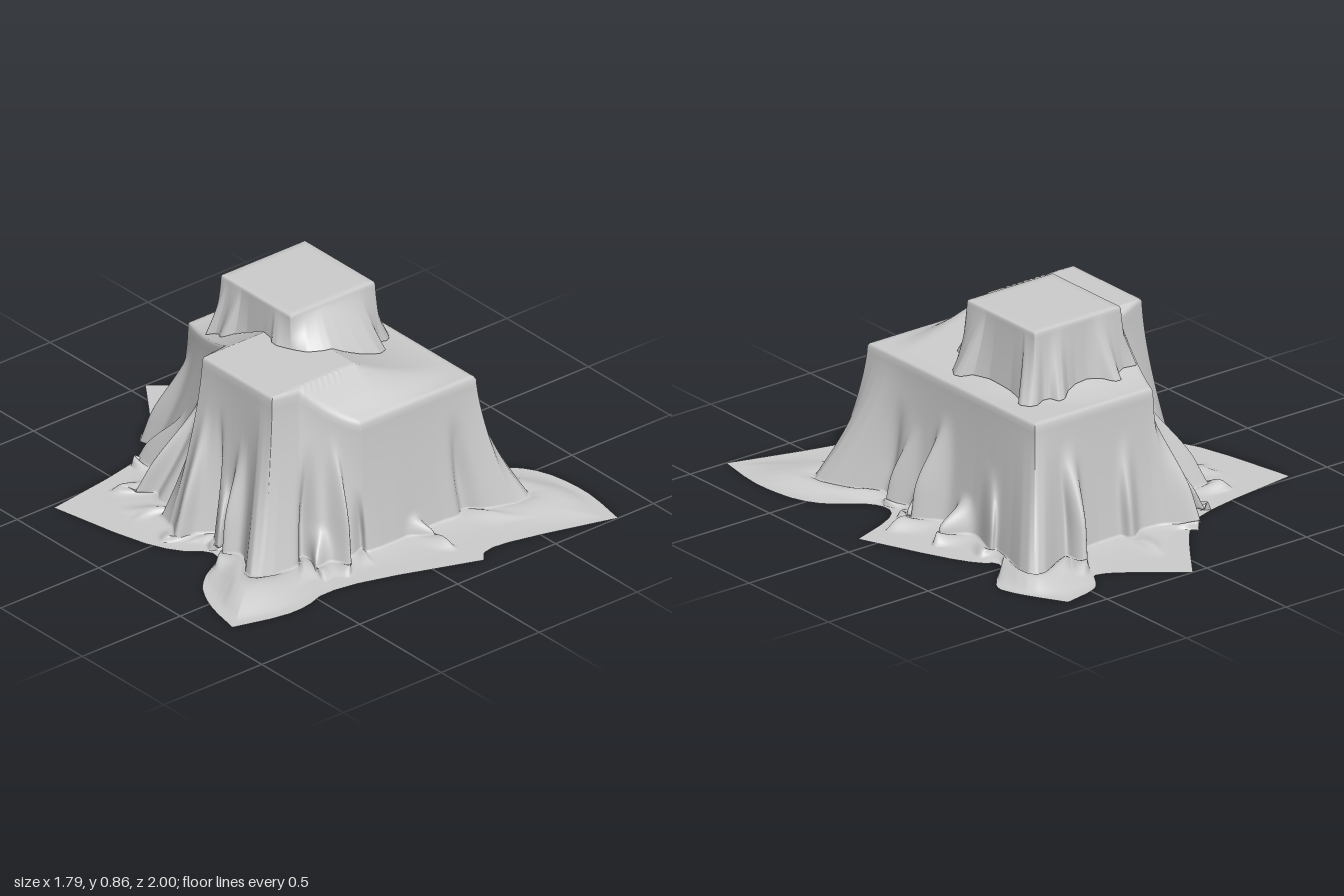
import * as THREE from 'three';

const CLOTH = new THREE.MeshStandardMaterial({ color: 0xcccccc, side: THREE.DoubleSide });
const TAU = Math.PI * 2;
const { lerp, smoothstep, degToRad } = THREE.MathUtils;

// Round an outline by cutting corners; points marked with a third value stay sharp.
function rounded(poly, times) {
  if (times === 0) return poly;
  const mix = (p, q) => [lerp(p[0], q[0], 0.25), lerp(p[1], q[1], 0.25)];
  const cut = poly.flatMap((p, i) => p[2] ? [p]
    : [mix(p, poly[(i + poly.length - 1) % poly.length]), mix(p, poly[(i + 1) % poly.length])]);
  return rounded(cut, times - 1);
}

// Distance from a centre to a closed outline of [x, z] points along angle a.
function reach(poly, c, a) {
  const dx = Math.cos(a), dz = Math.sin(a);
  let best = 0;
  poly.forEach(([x1, z1], i) => {
    const [x2, z2] = poly[(i + 1) % poly.length];
    const ex = x2 - x1, ez = z2 - z1, det = ex * dz - ez * dx;
    if (Math.abs(det) < 1e-9) return;
    const px = x1 - c[0], pz = z1 - c[1];
    const r = (ex * pz - ez * px) / det;
    const s = (dx * pz - dz * px) / det;
    if (r > best && s > -1e-6 && s < 1 + 1e-6) best = r;
  });
  return best;
}

const turn = (a, b) => ((a - b + TAU * 1.5) % TAU) - Math.PI;

// Even angles plus the exact sharp corners.
function angleList(c, count, corners) {
  const list = Array.from({ length: count }, (_, i) => (i / count) * TAU);
  corners.forEach(([x, z]) => list.push((Math.atan2(z - c[1], x - c[0]) + TAU) % TAU));
  list.sort((p, q) => p - q);
  return list.filter((a, i) => i === 0 || a - list[i - 1] > 1e-4);
}

// Sheet made of closed rings; column(a) returns a function of the row giving [x, y, z].
function ringSheet(name, angles, rows, column) {
  const pos = [], index = [], n = angles.length;
  const columns = angles.map(column);
  for (let j = 0; j < rows; j++) columns.forEach((point) => pos.push(...point(j)));
  for (let j = 0; j < rows - 1; j++) {
    for (let i = 0; i < n; i++) {
      const p = j * n + i, q = j * n + (i + 1) % n;
      index.push(p, q, p + n, q, q + n, p + n);
    }
  }
  const g = new THREE.BufferGeometry();
  g.setAttribute('position', new THREE.Float32BufferAttribute(pos, 3));
  g.setIndex(index);
  g.computeVertexNormals();
  const mesh = new THREE.Mesh(g, CLOTH);
  mesh.name = name;
  return mesh;
}

// Height of the large cloth over the low box and the raised side box.
function topHeight(x, z) {
  const dx = Math.max(-0.43 - x, x, 0);
  const dz = z > 0.38 ? (z - 0.38) * 2.6 : Math.max(-0.05 - z, 0);
  return 0.58 + 0.15 * Math.max(0, 1 - Math.hypot(dx, dz) / 0.45) ** 1.6;
}

// Large cloth: supported edge, foot of the skirt and hem on the floor.
const C = [0.02, 0.02];
const EDGE = [
  [0.47, 0.55], [0.47, -0.51], [-0.12, -0.51], [-0.28, -0.1],
  [-0.43, -0.05], [-0.43, 0.38], [-0.3, 0.39], [-0.12, 0.55],
];
const FOOT = rounded([
  [0.72, 0.72], [0.55, 0.34], [0.52, 0.1], [0.52, -0.32], [0.67, -0.75], [0.36, -0.56], [-0.1, -0.55],
  [-0.22, -0.62], [-0.36, -0.4], [-0.62, -0.1], [-0.49, 0.15], [-0.5, 0.3], [-0.66, 0.49], [-0.3, 0.52], [-0.14, 0.61], [0.32, 0.58],
], 2);
const TIPS = [[0.82, 1, 1], [0.89, 0.08, 1], [0.64, -0.93, 1], [0.07, -1, 1], [-0.83, -0.48, 1], [-0.9, 0.7, 1], [0.2, 0.92, 1]];
const HEM = rounded([
  TIPS[0], [0.87, 0.74], [0.82, 0.46], [0.61, 0.32], [0.61, 0.18], TIPS[1], [0.7, -0.39], [0.58, -0.47],
  [0.78, -0.62], [0.75, -0.74], TIPS[2], [0.44, -0.89], [0.4, -0.74], TIPS[3], [-0.13, -0.72], [-0.28, -0.56],
  TIPS[4], [-0.73, 0.06], [-0.53, 0.22], [-0.76, 0.33], [-0.86, 0.5], TIPS[5], [-0.62, 0.78], [-0.4, 0.7], TIPS[6], [0.27, 0.84],
], 2);

// Standing folds: direction and width in degrees, height they start at, depth; they lean alternately.
const FOLDS = [
  [3, 5.5, 0.46, 0.09], [13, 4, 0.14, 0.08], [23, 4, 0.37, 0.06], [33, 4, 0.45, -0.04],
  [58, 3, 0.5, -0.04], [80, 3, 0.1, 0.07],
  [107, 2.5, 0.3, -0.04], [116, 3, 0.58, 0.07], [122, 2.5, 0.16, 0.06], [127, 3.5, 0.5, -0.06],
  [157, 3.5, 0.5, 0.06], [166, 3, 0.3, 0.06], [173, 3, 0.6, -0.04], [182, 4, 0.55, 0.06], [202, 4, 0.4, -0.07],
  [219, 4, 0.45, 0.09], [234, 3, 0.3, 0.09], [252, 3.5, 0.5, 0.08], [271, 4, 0.45, 0.05],
  [298, 3.5, 0.5, 0.08], [303, 3, 0.5, -0.05], [329, 4, 0.34, 0.07], [344, 4.5, 0.16, 0.1],
].map(([deg, w, y, d], i) => ({ a: degToRad(deg), w: degToRad(w), y, d, lean: i % 2 ? -0.5 : 0.5 }));

// Total outward and sideways push of the folds at angle a and height y.
function foldAt(a, y) {
  let out = 0, side = 0;
  for (const f of FOLDS) {
    const g = turn(a, f.a) / f.w;
    if (Math.abs(g) > 3) continue;
    const push = f.d * Math.exp(-g * g * 1.6) * (1 - smoothstep(y, f.y * 0.25, f.y));
    out += push;
    side += push * f.lean;
  }
  return [out, side];
}

// Soft swellings of the corner flaps: direction in degrees and height.
const puffAt = (a) => [[144, 0.05], [44, 0.025], [310, 0.045]]
  .reduce((s, [deg, h]) => s + h * Math.exp(-((turn(a, degToRad(deg)) / 0.18) ** 2)), 0);

function largeCloth() {
  const TOP = 26, SKIRT = 28, FLAP = 16;
  return ringSheet('largeDrapedCloth', angleList(C, 720, [...EDGE, ...TIPS]), TOP + SKIRT + FLAP, (a) => {
    const dx = Math.cos(a), dz = Math.sin(a);
    const at = (r, y, side = 0) => [C[0] + dx * r - dz * side, y, C[1] + dz * r + dx * side];
    const rTop = reach(EDGE, C, a), rFoot = reach(FOOT, C, a), rHem = reach(HEM, C, a);
    const yTop = topHeight(C[0] + dx * rTop, C[1] + dz * rTop);
    const [footOut, footSide] = foldAt(a, 0);
    const puff = puffAt(a);
    return (j) => {
      // Top
      if (j < TOP) {
        const [x, , z] = at(rTop * 0.985 * (j / (TOP - 1)), 0);
        return [x, topHeight(x, z), z];
      }
      // Skirt
      if (j < TOP + SKIRT) {
        const t = (j - TOP) / (SKIRT - 1);
        const k = 1 - (1 - t) ** 1.25;
        const y = lerp(yTop - 0.012, 0.022, k);
        const [out, side] = foldAt(a, y);
        const ease = smoothstep(k, 0, 0.4);
        return at(lerp(rTop, rFoot, k ** 1.45) + out * ease, y, side * ease);
      }
      // Floor flap
      const u = (j - TOP - SKIRT + 1) / FLAP;
      const r0 = rFoot + footOut;
      const wrinkle = 0.35 * Math.abs(footOut) * Math.sin(Math.PI * Math.min(1, u * 2));
      const y = 0.01 + 0.012 * (1 - u) ** 4 + wrinkle + puff * Math.sin(Math.PI * Math.min(1, u * 1.2) ** 0.8);
      return at(lerp(r0, Math.max(rHem, r0 + 0.015), u), y, footSide * (1 - u) ** 2);
    };
  });
}

// Small cloth over the upper box, with a scalloped hem resting on the large one.
function smallCloth() {
  const c = [0.105, -0.105], TOP = 8, SIDE = 22;
  const edge = [[0.32, 0.11], [0.32, -0.32], [-0.11, -0.32], [-0.11, 0.11]];
  const foot = rounded([
    [-0.13, 0.13], [-0.08, 0.21], [0.1, 0.255], [0.29, 0.23], [0.31, 0.13], [0.38, 0.13], [0.43, 0.05], [0.35, 0],
    [0.35, -0.27], [0.41, -0.31], [0.37, -0.38], [0.28, -0.335], [0.25, -0.41], [0.16, -0.335], [0.04, -0.335],
    [-0.04, -0.42], [-0.08, -0.335], [-0.19, -0.35], [-0.14, -0.3], [-0.19, -0.23], [-0.12, -0.2], [-0.12, 0], [-0.16, 0.05],
  ], 1);
  return ringSheet('smallDrapedCloth', angleList(c, 320, edge), TOP + SIDE, (a) => {
    const dx = Math.cos(a), dz = Math.sin(a);
    const r0 = reach(edge, c, a), r1 = reach(foot, c, a);
    const hem = topHeight(c[0] + dx * r1, c[1] + dz * r1) + 0.006;
    return (j) => {
      const t = (j - TOP) / (SIDE - 1);
      const r = j < TOP ? r0 * 0.985 * (j / (TOP - 1)) : lerp(r0, r1, t ** 1.25);
      const x = c[0] + dx * r, z = c[1] + dz * r;
      const y = j < TOP ? 0.87 : Math.max(lerp(0.86, hem, t), topHeight(x, z) + 0.004);
      return [x, y, z];
    };
  });
}

export function createModel() {
  const model = new THREE.Group();
  model.name = 'drapedBoxes';
  model.add(largeCloth(), smallCloth());
  return model;
}
